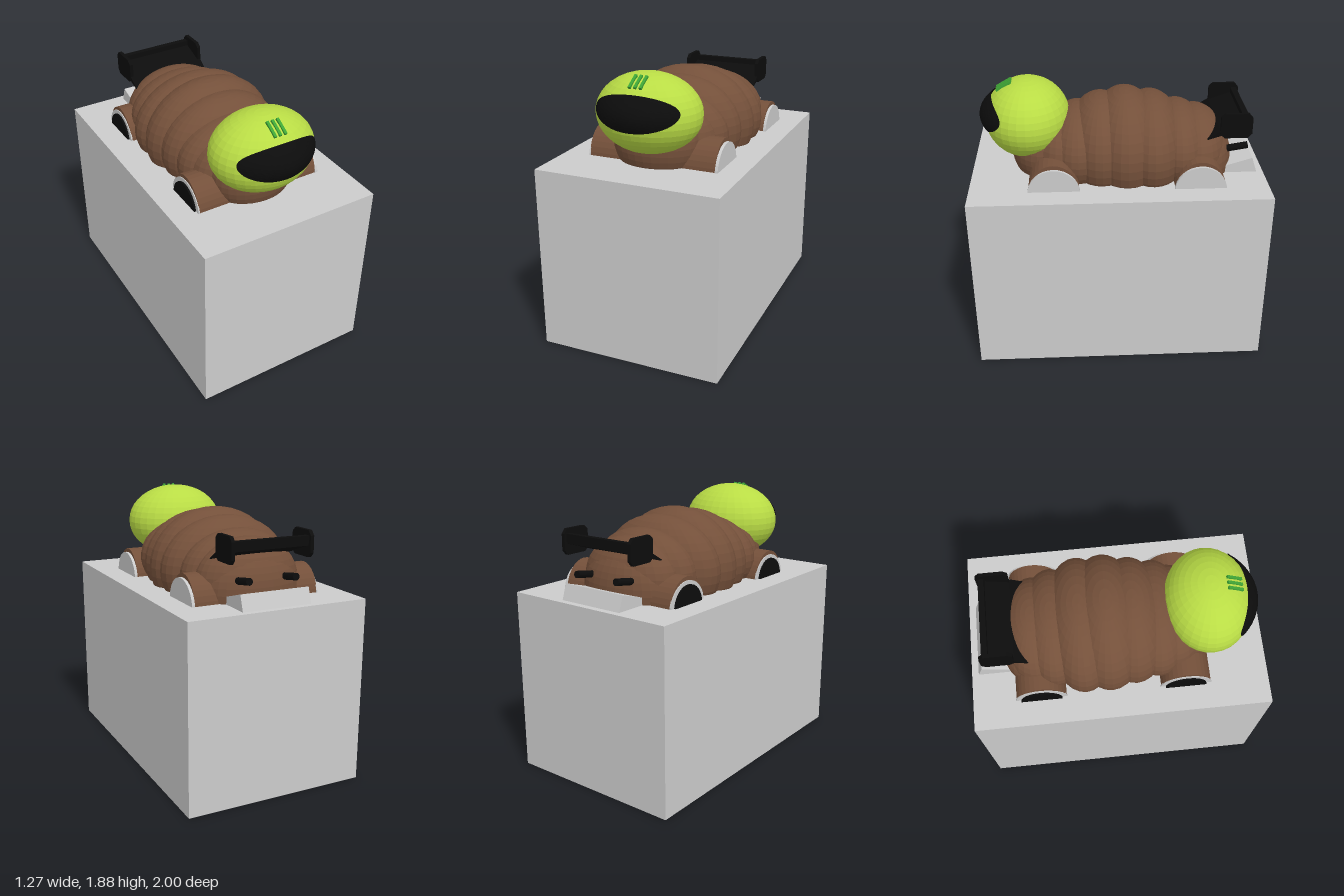
import * as THREE from 'three';

const paint = (color, extra = {}) => new THREE.MeshStandardMaterial({ color, flatShading: true, ...extra });

export function createModel() {
  const model = new THREE.Group();
  const grey = paint(0xcccccc), brown = paint(0x74503a), lime = paint(0xb9dc45);
  const green = paint(0x3fa535), black = paint(0x0c0c0c);

  function add(name, geometry, material, x = 0, y = 0, z = 0) {
    const mesh = new THREE.Mesh(geometry, material);
    mesh.name = name;
    mesh.position.set(x, y, z);
    model.add(mesh);
    return mesh;
  }
  const ellipsoid = (rx, ry, rz) => new THREE.SphereGeometry(1, 32, 20).scale(rx, ry, rz);
  // side outline given as [z, y], extruded across x
  function slab(points, width) {
    const shape = new THREE.Shape(points.map(([z, y]) => new THREE.Vector2(z, y)));
    return new THREE.ExtrudeGeometry(shape, { depth: width, bevelEnabled: false })
      .translate(0, 0, -width / 2).rotateY(-Math.PI / 2);
  }

  // Plinth
  add('plinth', new THREE.BoxGeometry(1.27, 1.27, 2), grey, 0, 0.635, 0);

  // Segmented body: [centre y, centre z, half width, half height, half length]
  [
    [1.40, 0.50, 0.30, 0.27, 0.23],
    [1.40, 0.38, 0.365, 0.26, 0.22],
    [1.40, 0.27, 0.41, 0.295, 0.23],
    [1.40, 0.11, 0.44, 0.36, 0.25],
    [1.40, -0.06, 0.472, 0.395, 0.27],
    [1.40, -0.235, 0.47, 0.36, 0.25],
    [1.40, -0.42, 0.41, 0.295, 0.22],
    [1.38, -0.55, 0.37, 0.28, 0.22],
    [1.32, -0.59, 0.35, 0.29, 0.21],
  ].forEach(([y, z, rx, ry, rz], i) => add('bodySegment' + (i + 1), ellipsoid(rx, ry, rz), brown, 0, y, z));

  // Helmet
  const head = { y: 1.62, z: 0.61, rx: 0.357, ry: 0.265, rz: 0.29 };
  add('helmet', ellipsoid(head.rx, head.ry, head.rz), lime, 0, head.y, head.z);

  // Visor: an oval patch bulging from the helmet front
  const visor = new THREE.RingGeometry(0.001, 1, 40, 8);
  const p = visor.attributes.position;
  for (let i = 0; i < p.count; i++) {
    const u = p.getX(i), v = p.getY(i);
    const x = 0.29 * u, y = 1.672 + 0.114 * v;
    const s = 1 - (x / head.rx) ** 2 - ((y - head.y) / head.ry) ** 2;
    p.setXYZ(i, x, y, head.z + head.rz * Math.sqrt(Math.max(s, 0)) + 0.01 + 0.028 * (1 - u * u - v * v));
  }
  visor.computeVertexNormals();
  add('visor', visor, paint(0x0c0c0c, { side: THREE.DoubleSide }));

  // Helmet stripes
  for (const x of [-0.037, 0, 0.037]) {
    add('helmetStripe', new THREE.BoxGeometry(0.018, 0.016, 0.115), green, x, 1.848, 0.76).rotation.x = 0.52;
  }

  // Wheel arches and wheels
  const disc = (ry, rz, width) =>
    new THREE.CylinderGeometry(1, 1, width, 32).rotateZ(Math.PI / 2).scale(1, ry, rz);
  for (const z of [0.437, -0.54]) {
    add('wheelArch', disc(0.197, 0.17, 0.9), brown, 0, 1.255, z);
    add('rightWheel', disc(0.175, 0.175, 0.02), grey, 0.46, 1.25, z);
    add('leftRim', disc(0.175, 0.175, 0.01), grey, -0.451, 1.25, z);
    add('leftHub', disc(0.15, 0.14, 0.014), black, -0.462, 1.25, z);
  }

  // Spoiler: raked blade, rear lip, chamfered end plates
  add('spoilerBlade', slab([[-0.59, 1.545], [-0.6, 1.54], [-0.87, 1.625], [-0.87, 1.665], [-0.68, 1.60]], 0.58), black);
  add('spoilerLip', new THREE.BoxGeometry(0.56, 0.05, 0.04), black, 0, 1.665, -0.855);
  const plate = [
    [-0.68, 1.575], [-0.71, 1.55], [-0.865, 1.55], [-0.892, 1.58],
    [-0.892, 1.69], [-0.865, 1.722], [-0.71, 1.722], [-0.68, 1.695],
  ];
  for (const side of [-1, 1]) {
    add('spoilerEndPlate', slab(plate, 0.025), black, side * 0.28, 0, 0);
    add('exhaustPipe', new THREE.CylinderGeometry(0.024, 0.024, 0.16, 16).rotateX(Math.PI / 2 + 0.16),
      black, side * 0.168, 1.427, -0.815);
  }

  // Rear bumper wedge
  add('rearBumper', slab([[-0.7, 1.27], [-0.7, 1.31], [-0.92, 1.375], [-0.955, 1.27]], 0.49), grey);

  return model;
}
